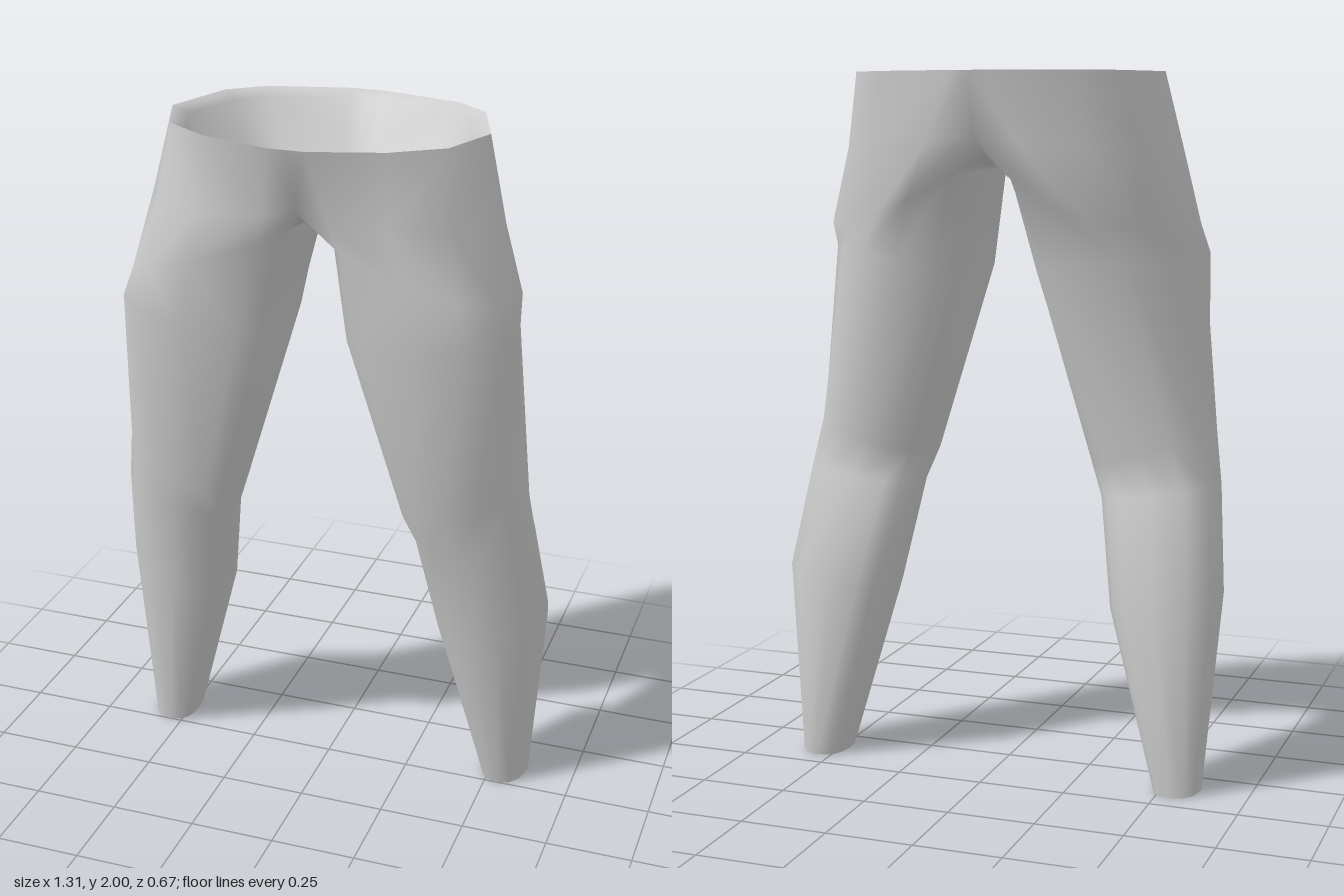
import * as THREE from 'three';
import { mergeVertices } from 'three/addons/utils/BufferGeometryUtils.js';

const SIDES = 14; // columns 0-8 run front, outside, back; 9-13 run along the inner thigh

// Leg rings from ankle to upper thigh: [inner y, outer y, inner x, outer x, back z, front z,
// inward tuck of the outer back, same of the outer front, roundness of the inner side]
const LEG_RINGS = [
  [0, 0, 0.475, 0.61, -0.19, 0, 0, 0.01, 0.85],
  [0.51, 0.57, 0.335, 0.655, -0.21, 0.1, 0, 0.06, 0.85],
  [0.81, 0.86, 0.28, 0.625, -0.105, 0.145, 0, 0.06, 0.85],
  [0.9, 1.0, 0.25, 0.605, -0.115, 0.2, 0.03, 0.05, 0.8],
  [1.45, 1.5, 0.09, 0.56, -0.185, 0.285, 0.1, -0.02, 0.6],
  [1.73, 1.57, 0.053, 0.55, -0.28, 0.275, 0.2, 0, 0.4],
];

// Hip loop: around the outside, then back to front under the crotch on the centre line
const HIP_LOOP = [
  [0, 1.82, 0.268], [0.09, 1.8, 0.275], [0.26, 1.8, 0.28], [0.41, 1.79, 0.22], [0.505, 1.77, 0.03],
  [0.425, 1.79, -0.16], [0.3, 1.8, -0.255], [0.13, 1.81, -0.305], [0, 1.83, -0.29],
  [0, 1.77, -0.19], [0, 1.75, -0.08], [0, 1.745, 0.02], [0, 1.75, 0.11], [0, 1.77, 0.2],
];

// Half of the waist, front centre to back centre: [x, z]
const WAIST = [
  [0, 0.333], [0.05, 0.333], [0.25, 0.272], [0.385, 0.18], [0.45, 0.01],
  [0.38, -0.2], [0.28, -0.28], [0.05, -0.335], [0, -0.335],
];

// Bowl inside the waist, rim to floor: [scale of the waist outline, y]
const BOWL = [[1, 2], [0.9, 1.98], [0.78, 1.86], [0.5, 1.77], [0, 1.74]];

// Recess under each ankle, floor to rim: [scale of the ankle outline, y]
const RECESS = [[0, 0.05], [0.6, 0.04], [0.75, 0], [1, 0]];

// Slightly squared oval ring, tilted between its inner and outer heights
function legRing([yIn, yOut, xIn, xOut, zBack, zFront, backTuck, frontTuck, innerRound]) {
  const soft = (v, power) => (Math.sign(v) * Math.abs(v) ** power + 1) / 2;
  return Array.from({ length: SIDES }, (_, k) => {
    const a = THREE.MathUtils.degToRad(k <= 8 ? 120 - 30 * k : -120 - 20 * (k - 8));
    const c = Math.cos(a), s = Math.sin(a);
    const u = soft(c, c < -0.01 ? innerRound : 0.85);
    return [
      THREE.MathUtils.lerp(xIn, xOut, u) - u * (s < 0 ? -s * backTuck : s * frontTuck),
      THREE.MathUtils.lerp(yIn, yOut, u),
      THREE.MathUtils.lerp(zBack, zFront, soft(s, 0.85)),
    ];
  });
}

// Skin rows of points on the left half and mirror them, welding along the centre line
function mirroredLoft(rows) {
  const positions = [];
  for (const side of [1, -1]) {
    // The mirrored half has its corners reversed
    const triangle = (...corners) => {
      if (side < 0) corners.reverse();
      for (const [x, y, z] of corners) positions.push(side * x || 0, y, z);
    };
    for (let r = 0; r < rows.length - 1; r++) {
      const lower = rows[r], upper = rows[r + 1];
      const columns = upper.length === SIDES ? SIDES : upper.length - 1;
      for (let k = 0; k < columns; k++) {
        const n = (k + 1) % SIDES;
        triangle(lower[k], lower[n], upper[n]);
        triangle(lower[k], upper[n], upper[k]);
      }
    }
  }
  const soup = new THREE.BufferGeometry();
  soup.setAttribute('position', new THREE.Float32BufferAttribute(positions, 3));
  const geometry = mergeVertices(soup, 1e-4);
  geometry.computeVertexNormals();
  return geometry;
}

export function createModel() {
  const model = new THREE.Group();
  model.name = 'lowerBody';
  const material = new THREE.MeshStandardMaterial({ color: 0xcccccc, side: THREE.DoubleSide });
  const addPart = (name, rows) => {
    const mesh = new THREE.Mesh(mirroredLoft(rows), material);
    mesh.name = name;
    model.add(mesh);
  };

  const legs = LEG_RINGS.map(legRing);
  addPart('hipsAndLegs', [...legs, HIP_LOOP, WAIST.map(([x, z]) => [x, 2, z])]);

  // Hollow top
  addPart('waistBowl', BOWL.map(([s, y]) => WAIST.map(([x, z]) => [x * s, y, z * s])));

  // Hollow undersides of both ankles
  const [cx, cz] = [0.54, -0.095];
  addPart('ankleRecesses', RECESS.map(([s, y]) =>
    legs[0].map(([x, , z]) => [cx + (x - cx) * s, y, cz + (z - cz) * s])));

  return model;
}
